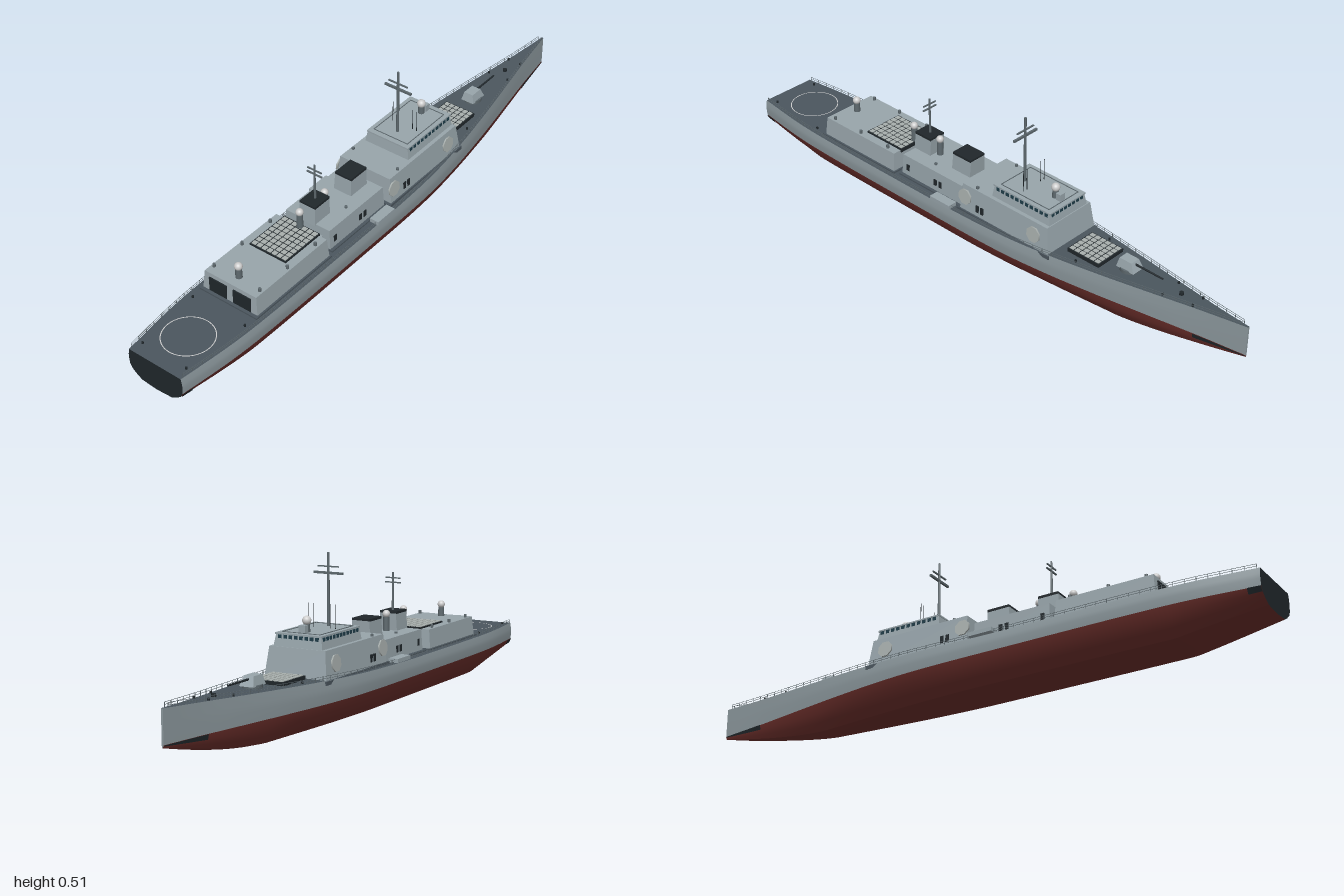
import * as THREE from 'three';
import { mergeGeometries, toCreasedNormals } from 'three/addons/utils/BufferGeometryUtils.js';

const paint = (color) => new THREE.MeshStandardMaterial({ color });
const MAT = {
  hull: paint(0x8b979c), red: paint(0x6e302c), deck: paint(0x4b565e), house: paint(0x98a5ab),
  dark: paint(0x20272b), glass: paint(0x1f3d49), metal: paint(0x5d686d), pale: paint(0xc4c8c4), cell: paint(0xa9b0ae),
};
const WATER = 0.09;

// Hull lines: half beam, sheer and keel along the length
function interpolate(table, x) {
  let i = 0;
  while (i < table.length - 2 && x > table[i + 1][0]) i++;
  const [x0, a] = table[i], [x1, b] = table[i + 1];
  return a + (b - a) * (x - x0) / (x1 - x0);
}
const BEAM = new THREE.SplineCurve([[-1, 0.1], [-0.8, 0.122], [-0.6, 0.129], [-0.25, 0.13], [0.1, 0.128], [0.3, 0.113],
  [0.5, 0.085], [0.7, 0.051], [0.85, 0.025], [1, 0.003]].map((p) => new THREE.Vector2(...p)));
const beamTable = BEAM.getPoints(80).map((p) => [p.x, p.y]);
const beam = (x) => interpolate(beamTable, x);
const sheer = (x) => 0.147 + 0.043 * Math.max(0, (x + 0.2) / 1.2) ** 1.5;
const keel = (x) => x < -0.72 ? 0.045 * (-0.72 - x) / 0.28 : 0.082 * Math.max(0, (x - 0.55) / 0.45) ** 1.4;

// One side of a cross-section as [half width, height], keel to waterline
function bottomSide(x) {
  const k = keel(x), fine = 1 + 0.7 * Math.max(0, x);
  return [[0, 0], [0.57, 0.1], [0.76, 0.36], [0.92, 0.66], [1, 1]].map(([w, t]) =>
    [beam(x) * 1.01 * w ** fine, k + (WATER - k) * t]);
}
function topSide(x) {
  const h = sheer(x) - WATER, b = beam(x);
  return [[1.01, 0], [1.03, 0.4], [1.025, 0.65], [0.99, 1]].map(([w, t]) => [b * w, WATER + h * t]);
}
const port = (side) => side.map(([w, y]) => [w, y]);
const starboard = (side) => side.map(([w, y]) => [-w, y]).reverse();

// Skin through a row of [z, y] cross-sections
function loft(x0, x1, steps, section) {
  const pos = [], index = [];
  let n = 0;
  for (let i = 0; i <= steps; i++) {
    const x = x0 + (x1 - x0) * i / steps, pts = section(x);
    n = pts.length;
    pts.forEach(([z, y]) => pos.push(x, y, z));
    for (let j = 0; i < steps && j < n - 1; j++) {
      const a = i * n + j, b = a + n;
      index.push(a, b, b + 1, a, b + 1, a + 1);
    }
  }
  const g = new THREE.BufferGeometry();
  g.setAttribute('position', new THREE.Float32BufferAttribute(pos, 3));
  g.setIndex(index);
  return toCreasedNormals(g, 0.45);
}

// Geometry helpers
const box = (x, y, z, w, h, d) => new THREE.BoxGeometry(w, h, d).translate(x, y, z);
const rod = (x, y0, y1, z, r, r2 = r, sides = 10) =>
  new THREE.CylinderGeometry(r2, r, y1 - y0, sides).translate(x, (y0 + y1) / 2, z);
const ball = (x, y, z, r) => new THREE.SphereGeometry(r, 20, 14).translate(x, y, z);
function beamBetween(a, b, t) {
  const d = b.clone().sub(a);
  const g = new THREE.BoxGeometry(t, t, d.length());
  g.applyQuaternion(new THREE.Quaternion().setFromUnitVectors(new THREE.Vector3(0, 0, 1), d.normalize()));
  return g.translate((a.x + b.x) / 2, (a.y + b.y) / 2, (a.z + b.z) / 2);
}
// Block with sloping sides: the top is inset at aft, fore and both sides
function block(x0, x1, y0, y1, half, aft, fore, side) {
  const g = box((x0 + x1) / 2, (y0 + y1) / 2, 0, x1 - x0, y1 - y0, half * 2), p = g.attributes.position;
  for (let i = 0; i < p.count; i++) if (p.getY(i) > (y0 + y1) / 2) {
    p.setX(i, p.getX(i) + (p.getX(i) > (x0 + x1) / 2 ? -fore : aft));
    p.setZ(i, p.getZ(i) - Math.sign(p.getZ(i)) * side);
  }
  g.computeVertexNormals();
  return g;
}

export function createModel() {
  const ship = new THREE.Group();
  ship.name = 'warship';
  const add = (name, mat, ...geos) => {
    const mesh = new THREE.Mesh(geos.length > 1 ? mergeGeometries(geos) : geos[0], mat);
    mesh.name = name;
    ship.add(mesh);
  };

  // Hull, deck and ends
  add('lowerHull', MAT.red, loft(-1, 1, 80, (x) => [...starboard(bottomSide(x)), ...port(bottomSide(x)).slice(1)]));
  add('upperHullPort', MAT.hull, loft(-1, 1, 80, (x) => port(topSide(x))));
  add('upperHullStarboard', MAT.hull, loft(-1, 1, 80, (x) => starboard(topSide(x))));
  add('deck', MAT.deck, loft(-1, 1, 80, (x) => [[beam(x) * 0.99, sheer(x)], [-beam(x) * 0.99, sheer(x)]]));
  const endCap = (x) => {
    const half = [...bottomSide(x), ...topSide(x).slice(1)];
    const shape = new THREE.Shape([...port(half), ...starboard(half).slice(0, -1)].map((p) => new THREE.Vector2(...p)));
    return new THREE.ShapeGeometry(shape).rotateY(Math.sign(x) * Math.PI / 2).translate(x, 0, 0);
  };
  add('transom', MAT.dark, endCap(-1));
  add('stem', MAT.hull, endCap(1));
  // Dark waterline patches at both ends
  for (const [x0, x1] of [[-1, -0.96], [0.83, 1]]) {
    const strip = (x) => bottomSide(x).slice(3).map(([w, y]) => [w + 0.0025, y]);
    add('waterlinePatch', MAT.dark, loft(x0, x1, 8, (x) => port(strip(x))));
    add('waterlinePatch', MAT.dark, loft(x0, x1, 8, (x) => starboard(strip(x))));
  }

  // Deck edge railing
  const rails = [];
  for (const s of [-1, 1]) {
    const foot = (i) => { const x = -0.99 + 1.97 * i / 56; return new THREE.Vector3(x, sheer(x), s * beam(x) * 0.975); };
    for (let i = 0; i <= 56; i++) {
      const a = foot(i);
      rails.push(box(a.x, a.y + 0.007, a.z, 0.0014, 0.014, 0.0014));
      for (const h of [0.007, 0.014]) if (i < 56) {
        const up = new THREE.Vector3(0, h, 0);
        rails.push(beamBetween(a.clone().add(up), foot(i + 1).add(up), 0.001));
      }
    }
  }
  add('railing', MAT.metal, ...rails);

  // Superstructure blocks on dark footings
  add('footing', MAT.deck, box(-0.515, 0.148, 0, 0.35, 0.008, 0.222), box(-0.185, 0.148, 0, 0.28, 0.008, 0.2),
    box(0.145, 0.152, 0, 0.39, 0.012, 0.225));
  add('hangar', MAT.house, block(-0.68, -0.345, 0.14, 0.215, 0.106, 0.006, 0.004, 0.007));
  add('midHouse', MAT.house, block(-0.322, -0.05, 0.14, 0.22, 0.09, 0.003, 0.003, 0.005));
  add('walkway', MAT.house, box(-0.19, 0.165, 0, 0.33, 0.05, 0.12));
  add('forwardHouse', MAT.house, block(-0.04, 0.335, 0.145, 0.246, 0.109, 0.006, 0.014, 0.011));
  add('bridge', MAT.house, block(0.08, 0.318, 0.246, 0.283, 0.085, 0.004, 0.006, 0.006));
  add('bridgeRoof', MAT.house, box(0.199, 0.285, 0, 0.234, 0.005, 0.162));
  add('roofEdge', MAT.metal, ...[-1, 1].map((s) => box(0.199, 0.2885, s * 0.066, 0.2, 0.002, 0.002)),
    ...[0.1, 0.298].map((x) => box(x, 0.2885, 0, 0.002, 0.002, 0.132)));

  // Bridge windows on the front and both sides
  const panes = [];
  for (let i = 0; i < 8; i++) panes.push(box(0.3135, 0.276, (i - 3.5) * 0.0185, 0.003, 0.011, 0.0115));
  for (const s of [-1, 1]) for (let i = 0; i < 11; i++) panes.push(box(0.1 + i * 0.02, 0.276, s * 0.0805, 0.012, 0.011, 0.003));
  add('bridgeWindows', MAT.glass, ...panes);

  // Doors, hangar shutters and side radar panels
  const doors = [];
  for (const s of [-1, 1]) {
    for (const x of [-0.295, -0.17, -0.148]) doors.push(box(x, 0.18, s * 0.0875, 0.013, 0.022, 0.003));
    for (const x of [0.035, 0.055]) doors.push(box(x, 0.183, s * 0.105, 0.012, 0.024, 0.004));
    doors.push(box(-0.6765, 0.176, s * 0.046, 0.006, 0.05, 0.068));
    for (const [x, y] of [[-0.02, 0.205], [0.27, 0.203]]) {
      const panel = new THREE.CylinderGeometry(0.027, 0.027, 0.005, 8).rotateY(Math.PI / 8);
      add('radarPanel', MAT.cell, panel.rotateX(Math.PI / 2 - s * 0.1).translate(x, y, s * 0.105));
    }
    add('boatPlatform', MAT.house, box(-0.102, 0.159, s * 0.121, 0.085, 0.013, 0.033));
  }
  add('doors', MAT.dark, ...doors);

  // Missile hatches: dark tray with a grid of pale lids
  const hatches = (name, x0, x1, half, y, nx, nz) => {
    const dx = (x1 - x0) / nx, dz = half * 2 / nz, lids = [];
    for (let i = 0; i < nx; i++) for (let j = 0; j < nz; j++)
      lids.push(box(x0 + dx * (i + 0.5), y + 0.001, -half + dz * (j + 0.5), dx * 0.8, 0.004, dz * 0.8));
    add(name + 'Tray', MAT.dark, box((x0 + x1) / 2, y - 0.005, 0, x1 - x0 + 0.004, 0.012, half * 2 + 0.004));
    add(name + 'Lids', MAT.cell, ...lids);
  };
  hatches('aftHatch', -0.505, -0.347, 0.068, 0.219, 8, 7);
  hatches('foreHatch', 0.37, 0.49, 0.055, 0.176, 6, 6);

  // Funnels
  for (const [x0, x1, half] of [[-0.322, -0.25, 0.032], [-0.148, -0.068, 0.034]]) {
    add('funnel', MAT.house, block(x0, x1, 0.215, 0.276, half, 0.004, -0.003, 0.003));
    add('funnelCap', MAT.dark, box((x0 + x1) / 2 + 0.003, 0.279, 0, x1 - x0 - 0.002, 0.008, half * 2 - 0.004));
  }

  // Masts with cross yards, and whip aerials
  add('mainMast', MAT.metal, rod(0.137, 0.285, 0.515, 0, 0.005, 0.004),
    box(0.137, 0.452, 0, 0.007, 0.007, 0.102), box(0.137, 0.472, 0, 0.005, 0.004, 0.074));
  add('aftMast', MAT.metal, rod(-0.28, 0.28, 0.408, 0, 0.004, 0.003),
    box(-0.28, 0.374, 0, 0.005, 0.004, 0.058), box(-0.28, 0.389, 0, 0.004, 0.004, 0.054));
  add('whipAerials', MAT.dark, ...[-0.047, -0.031, 0.031, 0.047].map((z) => rod(0.175, 0.285, 0.362, z, 0.0012, 0.0008, 6)));

  // Sensor domes on pedestals
  for (const [x, y0, y, r] of [[0.265, 0.285, 0.323, 0.014], [-0.635, 0.213, 0.256, 0.013],
    [-0.355, 0.213, 0.276, 0.0125], [-0.235, 0.218, 0.276, 0.0125]]) {
    add('domePedestal', MAT.metal, rod(x, y0, y - r * 0.8, 0, 0.011, 0.01, 16));
    add('sensorDome', MAT.pale, ball(x, y, 0, r));
  }
  add('directorBox', MAT.house, box(0.285, 0.299, 0, 0.018, 0.024, 0.022));

  // Roof vents
  const vents = [];
  for (const s of [-1, 1]) for (const x of [-0.645, -0.52, -0.39, -0.2, 0.02])
    vents.push(rod(x, 0.21, x > 0 ? 0.253 : 0.226, s * (x === -0.2 ? 0.055 : 0.088), 0.005));
  add('roofVents', MAT.metal, ...vents);

  // Deck gun
  add('gunBase', MAT.metal, rod(0.565, 0.162, 0.18, 0, 0.03, 0.03, 24));
  add('gunTurret', MAT.house, block(0.532, 0.598, 0.177, 0.207, 0.024, 0.006, 0.014, 0.007));
  add('gunBarrel', MAT.dark, new THREE.CylinderGeometry(0.0028, 0.0036, 0.11, 12).rotateZ(-Math.PI / 2).translate(0.635, 0.197, 0));

  // Landing circle on the aft deck
  add('landingCircle', MAT.pale, new THREE.RingGeometry(0.079, 0.082, 48).rotateX(-Math.PI / 2).translate(-0.86, 0.148, 0));

  // Bollards and bow capstan
  const bollards = [];
  for (const s of [-1, 1]) for (const x of [-0.96, -0.73, 0.42, 0.72, 0.82])
    bollards.push(rod(x, sheer(x), sheer(x) + 0.007, s * beam(x) * 0.8, 0.0035));
  add('bollards', MAT.dark, ...bollards, rod(0.76, sheer(0.76), sheer(0.76) + 0.009, 0, 0.007));
  return ship;
}
